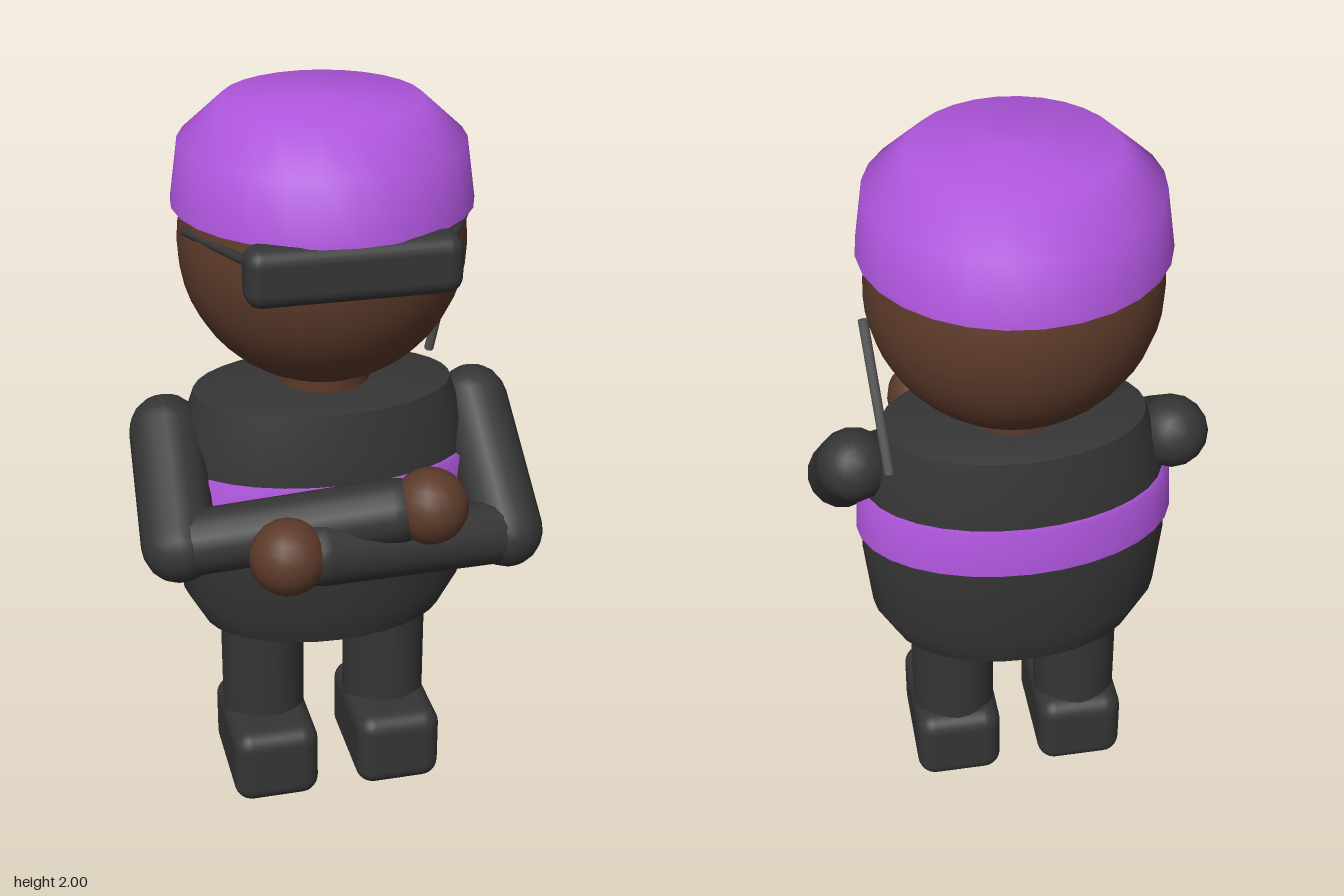
import * as THREE from 'three';
import { RoundedBoxGeometry } from 'three/addons/geometries/RoundedBoxGeometry.js';

const mat = (name, color, side = THREE.FrontSide) => new THREE.MeshStandardMaterial({ name, color, side });
const CZ = -0.063; // body axis depth

export function createModel() {
  const cloth = mat('charcoal cloth', 0x353535);
  const skin = mat('brown skin', 0x5c3a2a);
  const purple = mat('purple', 0xb056de, THREE.DoubleSide);
  const metal = mat('grey metal', 0x585858);
  const root = new THREE.Group();
  root.name = 'figure';

  const add = (name, geometry, material, x = 0, y = 0, z = 0, parent = root) => {
    const mesh = new THREE.Mesh(geometry, material);
    mesh.name = name;
    mesh.position.set(x, y, z);
    parent.add(mesh);
    return mesh;
  };
  const lathe = (points, segments = 32) =>
    new THREE.LatheGeometry(points.map(([r, y]) => new THREE.Vector2(r, y)), segments);
  // Stretches a rod or limb between two points
  const between = (name, a, b, radius, material, round, parent = root) => {
    const from = new THREE.Vector3(...a), to = new THREE.Vector3(...b);
    const length = from.distanceTo(to);
    const geometry = round
      ? new THREE.CapsuleGeometry(radius, length, 5, 16)
      : new THREE.CylinderGeometry(radius, radius, length, 10);
    const mesh = add(name, geometry, material, 0, 0, 0, parent);
    mesh.position.copy(from).lerp(to, 0.5);
    mesh.quaternion.setFromUnitVectors(new THREE.Vector3(0, 1, 0), to.sub(from).normalize());
    return mesh;
  };

  // Torso: oval lathe; repeated points keep the hem and shoulder edges sharp
  const torso = add('torso', lathe([
    [0, 0.515], [0.34, 0.515], [0.34, 0.515], [0.395, 0.615], [0.415, 0.81], [0.408, 0.98],
    [0.386, 1.1], [0.35, 1.205], [0.35, 1.205], [0.25, 1.225], [0, 1.235],
  ]), cloth, 0, 0, CZ);
  torso.scale.z = 0.62;

  // Sash around the chest
  const sash = add('sash', lathe([
    [0.39, 1.015], [0.426, 0.88], [0.428, 0.88], [0.421, 1.015], [0.39, 1.015],
  ]), purple, 0, 0, CZ);
  sash.scale.z = 0.635;

  // Neck and head
  add('neck', new THREE.CylinderGeometry(0.127, 0.127, 0.14, 24), skin, 0, 1.24, CZ);
  const head = add('head', new THREE.SphereGeometry(0.375, 32, 24), skin, 0, 1.61, CZ);
  head.scale.z = 0.955;

  // Cap
  add('cap', lathe([
    [0.35, 1.72], [0.388, 1.72], [0.388, 1.72], [0.365, 1.88], [0.255, 1.98], [0, 2.0],
  ], 28), purple, 0, 0, CZ);

  // Glasses
  const glasses = new THREE.Group();
  glasses.name = 'glasses';
  root.add(glasses);
  add('visor', new RoundedBoxGeometry(0.54, 0.15, 0.108, 3, 0.04), cloth, 0, 1.651, 0.271, glasses);
  for (const s of [1, -1]) {
    between('templeArm', [s * 0.24, 1.675, 0.26], [s * 0.365, 1.678, -0.005], 0.012, cloth, false, glasses);
  }

  // Earpiece rod
  between('earpieceRod', [0.382, 1.575, -0.12], [0.348, 1.19, -0.242], 0.013, metal, false);

  // Legs and shoes
  for (const s of [1, -1]) {
    add('leg', new THREE.CylinderGeometry(0.117, 0.117, 0.4, 24), cloth, s * 0.178, 0.35, -0.06);
    add('shoe', new RoundedBoxGeometry(0.242, 0.226, 0.363, 4, 0.05), cloth, s * 0.178, 0.113, -0.02);
  }

  // Folded arms
  const arms = [
    { name: 'leftArm', shoulder: [0.425, 1.1, -0.073], elbow: [0.44, 0.845, 0.22], hand: [-0.185, 0.92, 0.352] },
    { name: 'rightArm', shoulder: [-0.425, 1.1, -0.073], elbow: [-0.44, 0.9, 0.195], hand: [0.193, 1.008, 0.328] },
  ];
  for (const { name, shoulder, elbow, hand } of arms) {
    const arm = new THREE.Group();
    arm.name = name;
    root.add(arm);
    between('upperArm', shoulder, elbow, 0.098, cloth, true, arm);
    const wrist = hand.map((h, i) => h + (elbow[i] - h) * 0.14);
    between('forearm', elbow, wrist, 0.086, cloth, true, arm);
    add('hand', new THREE.SphereGeometry(0.1, 16, 12), skin, ...hand, arm);
  }
  return root;
}
